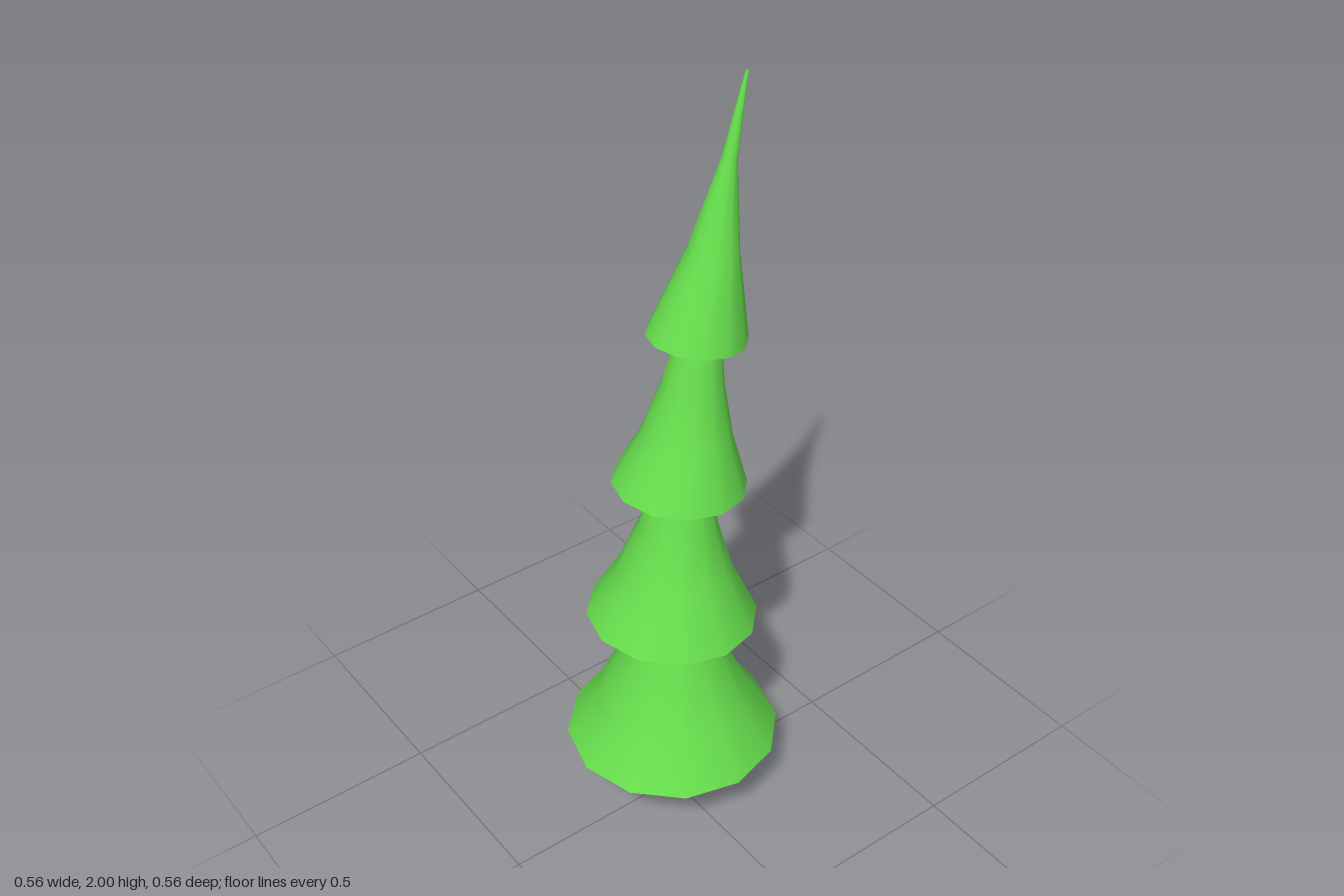
import * as THREE from 'three';

const SIDES = 12;

// Lofts a closed, smooth-sided skin through rings [centreX, y, radius, tilt]; tilt is the drop in y per unit x.
function loft(rings) {
  const pos = [], index = [];
  const point = ([cx, y, r, tilt], k) => {
    const a = (k / SIDES) * Math.PI * 2, dx = Math.sin(a) * r;
    return [cx + dx, y - tilt * dx, Math.cos(a) * r];
  };
  const addRing = (ring) => {
    for (let k = 0; k < SIDES; k++) pos.push(...point(ring, k));
  };
  rings.forEach(addRing);
  for (let i = 0; i < rings.length - 1; i++) {
    for (let k = 0; k < SIDES; k++) {
      const a = i * SIDES + k, b = i * SIDES + ((k + 1) % SIDES);
      index.push(a, b, b + SIDES, a, b + SIDES, a + SIDES);
    }
  }
  // End caps have their own vertices so the rims stay sharp
  const cap = (ring, up) => {
    const c = pos.length / 3;
    pos.push(ring[0], ring[1], 0);
    addRing(ring);
    for (let k = 0; k < SIDES; k++) {
      const a = c + 1 + k, b = c + 1 + ((k + 1) % SIDES);
      if (up) index.push(c, a, b);
      else index.push(c, b, a);
    }
  };
  cap(rings[0], false);
  cap(rings[rings.length - 1], true);
  const geo = new THREE.BufferGeometry();
  geo.setAttribute('position', new THREE.Float32BufferAttribute(pos, 3));
  geo.setIndex(index);
  geo.computeVertexNormals();
  return geo;
}

export function createModel() {
  const tree = new THREE.Group();
  tree.name = 'tree';
  const bark = new THREE.MeshStandardMaterial({ color: 0x6b4220 });
  const needles = new THREE.MeshStandardMaterial({ color: 0x66dd4c });

  const add = (name, rings, material) => {
    const mesh = new THREE.Mesh(loft(rings), material);
    mesh.name = name;
    tree.add(mesh);
  };

  // Slightly bowed trunk
  add('trunk', [
    [-0.002, 0, 0.054, 0],
    [0.003, 0.11, 0.054, 0],
    [0, 0.24, 0.05, 0],
  ], bark);

  // Flared foliage tiers, each leaning further toward +x
  const tiers = [
    ['bottomTier', [
      [-0.001, 0.22, 0.278, 0], [0, 0.34, 0.2, 0],
      [0.003, 0.49, 0.132, 0.02], [0.006, 0.66, 0.078, 0.05]]],
    ['lowerMiddleTier', [
      [-0.003, 0.613, 0.216, 0.053], [0.006, 0.745, 0.145, 0.06],
      [0.017, 0.88, 0.097, 0.08], [0.03, 1.05, 0.058, 0.1]]],
    ['upperMiddleTier', [
      [0.019, 1.005, 0.164, 0.077], [0.04, 1.135, 0.11, 0.1],
      [0.058, 1.265, 0.075, 0.12], [0.079, 1.44, 0.044, 0.15]]],
    ['topTier', [
      [0.068, 1.395, 0.119, 0.105], [0.112, 1.6, 0.06, 0.15],
      [0.152, 1.81, 0.018, 0.25], [0.195, 1.998, 0.004, 0.3]]],
  ];
  for (const [name, rings] of tiers) add(name, rings, needles);

  return tree;
}
